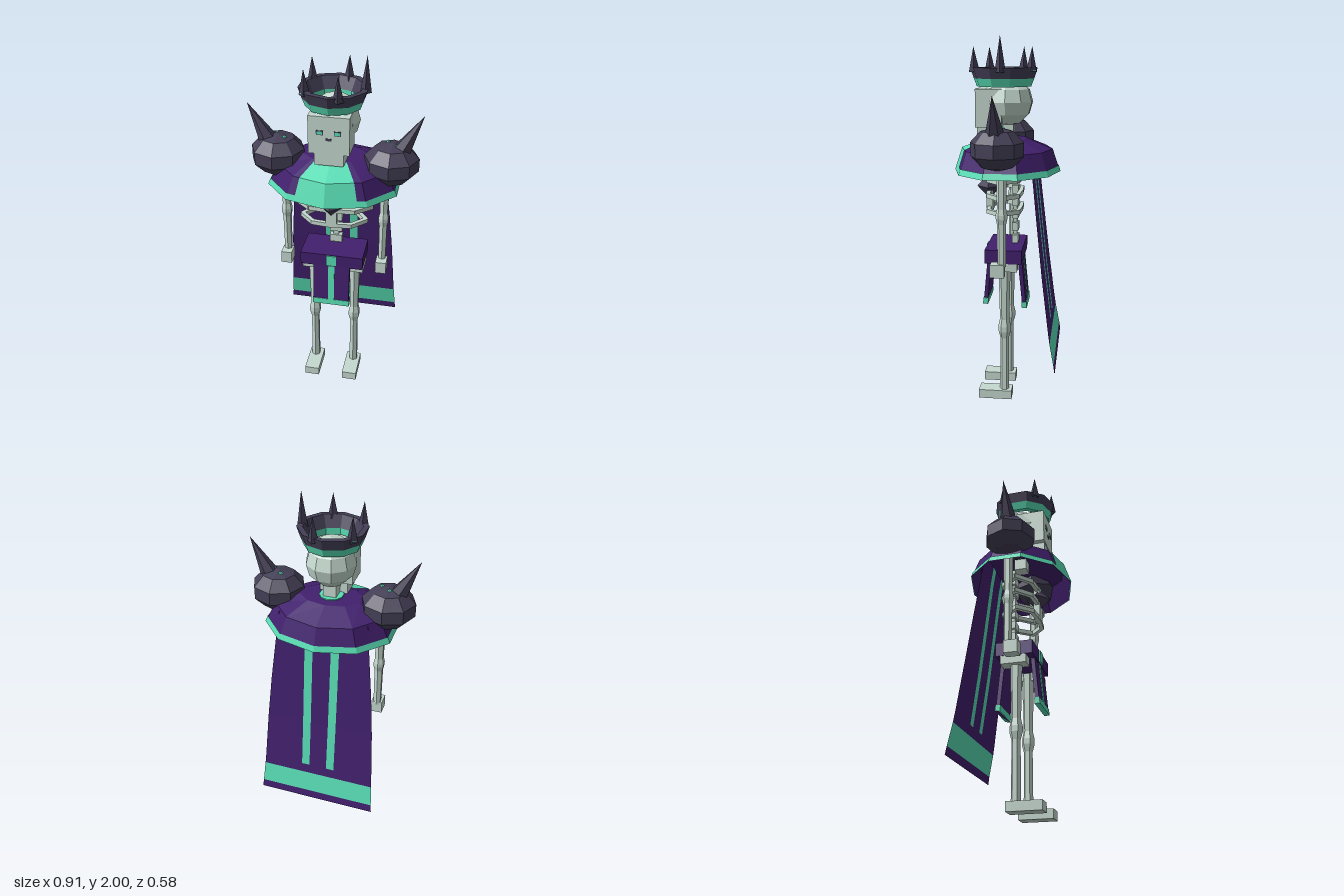
import * as THREE from 'three';

const mat = (name, color) => new THREE.MeshStandardMaterial({ name, color, flatShading: true, side: THREE.DoubleSide });

export function createModel() {
  const root = new THREE.Group();
  root.name = 'skeletonKing';
  const bone = mat('bone', 0xc6dad0), teal = mat('teal', 0x59dfb6);
  const purple = mat('purple', 0x42206e), dark = mat('darkMetal', 0x443f56);

  const add = (name, geo, m, x = 0, y = 0, z = 0) => {
    const mesh = new THREE.Mesh(geo, m);
    mesh.name = name;
    mesh.position.set(x, y, z);
    root.add(mesh);
    return mesh;
  };
  const box = (name, m, w, h, d, x, y, z) => add(name, new THREE.BoxGeometry(w, h, d), m, x, y, z);
  const lathe = (name, m, pts, seg, x = 0, z = 0) =>
    add(name, new THREE.LatheGeometry(pts.map(p => new THREE.Vector2(p[0], p[1])), seg), m, x, 0, z);
  // Box bar running between two points
  const bar = (name, m, a, b, w, h) => {
    const A = new THREE.Vector3(...a), B = new THREE.Vector3(...b);
    const mesh = box(name, m, w, h, A.distanceTo(B) + w * 0.5, 0, 0, 0);
    mesh.position.copy(A).lerp(B, 0.5);
    mesh.lookAt(B);
    return mesh;
  };
  // Cone standing on a base point and ending at a tip
  const spike = (name, base, tip, r, sides) => {
    const A = new THREE.Vector3(...base), B = new THREE.Vector3(...tip);
    const mesh = add(name, new THREE.ConeGeometry(r, A.distanceTo(B), sides), dark);
    mesh.position.copy(A).lerp(B, 0.5);
    mesh.quaternion.setFromUnitVectors(new THREE.Vector3(0, 1, 0), B.sub(A).normalize());
    return mesh;
  };
  // Quads between successive rows of points
  const sheet = (name, m, rows, keep = () => true) => {
    const pos = [];
    for (let i = 0; i + 1 < rows.length; i++) {
      for (let j = 0; j + 1 < rows[i].length; j++) {
        if (!keep(i, j)) continue;
        const a = rows[i][j], b = rows[i][j + 1], c = rows[i + 1][j + 1], d = rows[i + 1][j];
        pos.push(...a, ...b, ...c, ...a, ...c, ...d);
      }
    }
    const g = new THREE.BufferGeometry();
    g.setAttribute('position', new THREE.Float32BufferAttribute(pos, 3));
    g.computeVertexNormals();
    return add(name, g, m);
  };

  // Head
  add('cranium', new THREE.SphereGeometry(1, 10, 6).scale(0.133, 0.13, 0.14), bone, 0, 1.66, 0);
  box('face', bone, 0.21, 0.2, 0.14, 0, 1.63, 0.09);
  box('jaw', bone, 0.15, 0.07, 0.12, 0, 1.5, 0.095);
  box('neck', bone, 0.07, 0.14, 0.07, 0, 1.47, 0);
  box('noseHole', dark, 0.03, 0.012, 0.006, 0, 1.61, 0.16);
  for (const s of [-1, 1]) {
    box('eyeSocket', dark, 0.036, 0.024, 0.004, s * 0.045, 1.645, 0.161);
    box('eye', teal, 0.026, 0.016, 0.004, s * 0.045, 1.645, 0.163);
  }

  // Crown with five spikes
  lathe('crownBand', teal, [[0.12, 1.775], [0.12, 1.74], [0.146, 1.74], [0.162, 1.782]], 10, 0, 0.02);
  lathe('crownRim', dark, [[0.162, 1.782], [0.18, 1.838], [0.15, 1.838], [0.12, 1.775]], 10, 0, 0.02);
  for (let i = 0; i < 5; i++) {
    const a = i * Math.PI * 0.4, c = Math.cos(a), n = Math.sin(a);
    spike('crownSpike', [0.158 * c, 1.815, 0.02 + 0.158 * n], [0.162 * c, i ? 1.945 : 2, 0.02 + 0.162 * n], 0.029, 4);
    add('crownGem', new THREE.OctahedronGeometry(0.015), teal, 0.168 * c, 1.824, 0.02 + 0.168 * n);
  }

  // Mantle: ten-sided shell with trim and front panel
  const profile = [[0.357, 0.285, 1.29], [0.3, 0.245, 1.41], [0.17, 0.11, 1.462], [0.002, 0.002, 1.466]];
  const ringPoint = ([rx, rz, y], k, grow = 0) => {
    const i = Math.floor(k), t = k - i, a = i * Math.PI / 5, b = a + Math.PI / 5;
    return [(rx + grow) * (Math.sin(a) * (1 - t) + Math.sin(b) * t), y + grow * 0.5,
      (rz + grow) * (Math.cos(a) * (1 - t) + Math.cos(b) * t)];
  };
  const ring = (p, ks, grow) => ks.map(k => ringPoint(p, k, grow));
  const around = Array.from({ length: 11 }, (_, i) => i);
  sheet('mantle', purple, profile.map(p => ring(p, around)));
  sheet('mantleTrim', teal, [[0.357, 0.285, 1.288], [0.343, 0.275, 1.32]].map(p => ring(p, around, 0.004)));
  sheet('mantlePanel', teal, profile.slice(0, 3).map(p => ring(p, [-0.78, 0, 0.78], 0.005)));
  add('neckCollar', new THREE.CylinderGeometry(0.065, 0.065, 0.006, 10), teal, 0, 1.468, 0);

  // Shoulder pads, arms and legs
  for (const s of [-1, 1]) {
    add('shoulderPad', new THREE.SphereGeometry(1, 8, 5).scale(0.15, 0.112, 0.143), dark, s * 0.3, 1.443, 0.018);
    spike('shoulderSpike', [s * 0.325, 1.47, 0.022], [s * 0.453, 1.715, 0.022], 0.062, 6);
    add('padGem', new THREE.OctahedronGeometry(0.014), teal, s * 0.292 - 0.015, 1.545, -0.007);
    add('padGem', new THREE.OctahedronGeometry(0.014), teal, s * 0.292 + 0.032, 1.543, 0.033);

    lathe('arm', bone, [[0.022, 0.82], [0.024, 1.05], [0.031, 1.08], [0.031, 1.1], [0.024, 1.13], [0.028, 1.4]], 6, s * 0.27, 0);
    box('hand', bone, 0.06, 0.07, 0.075, s * 0.27, 0.8, 0.022);

    lathe('leg', bone, [[0.026, 0.04], [0.024, 0.36], [0.035, 0.4], [0.035, 0.43], [0.026, 0.47], [0.034, 0.8]], 6, s * 0.118, 0.003);
    box('hip', bone, 0.075, 0.05, 0.14, s * 0.135, 0.785, 0);
    box('foot', bone, 0.085, 0.05, 0.185, s * 0.115, 0.025, 0.053);
  }

  // Spine, sternum and ribs
  box('spineCore', bone, 0.03, 0.56, 0.02, 0, 1.13, -0.045);
  for (let i = 0; i < 7; i++) box('vertebra', bone, 0.07, 0.045, 0.035, 0, 0.91 + i * 0.07, -0.045);
  box('sternum', bone, 0.06, 0.2, 0.035, 0, 1.17, 0.095);
  for (const [y, w] of [[1.255, 0.205], [1.17, 0.205], [1.08, 0.175]]) {
    for (const s of [-1, 1]) {
      const path = [[0, 0.1], [0.6, 0.09], [1, 0.02], [0.6, -0.07], [0, -0.075]].map(([x, z]) => [s * x * w, y, z]);
      for (let i = 0; i < 4; i++) bar('rib', bone, path[i], path[i + 1], 0.022, 0.024);
    }
  }
  add('chestGemSetting', new THREE.OctahedronGeometry(0.068), dark, 0, 1.2, 0.1);
  add('chestGem', new THREE.OctahedronGeometry(0.034), teal, 0, 1.2, 0.133);

  // Belt and hanging cloths
  box('belt', purple, 0.35, 0.075, 0.2, 0, 0.843, 0.005);
  box('buckle', teal, 0.055, 0.065, 0.008, 0, 0.845, 0.108);
  for (const [name, s, w, top, bottom, z0, z1] of [
    ['frontCloth', 1, 0.205, 0.81, 0.55, 0.088, 0.112], ['backCloth', -1, 0.19, 0.81, 0.53, -0.078, -0.105]]) {
    const cloth = new THREE.Group();
    cloth.name = name;
    const len = Math.hypot(top - bottom, z1 - z0);
    cloth.position.set(0, (top + bottom) / 2, (z0 + z1) / 2);
    cloth.rotation.x = -Math.atan2(z1 - z0, top - bottom);
    root.add(cloth);
    cloth.add(box(name + 'Panel', purple, w, len, 0.022, 0, 0, 0));
    cloth.add(box(name + 'Hem', teal, w + 0.006, 0.034, 0.028, 0, -len / 2 + 0.017, 0));
    cloth.add(box(name + 'Stripe', teal, 0.035, len, 0.006, 0, 0, s * 0.011));
  }

  // Cape: thin flaring sheet with hem band and two stripes
  const capeRows = [[0.25, 0.335, -0.29], [0.295, 0.331, -0.283], [0.415, 0.323, -0.26], [0.47, 0.319, -0.252],
    [0.76, 0.302, -0.215], [1.0, 0.282, -0.188], [1.3, 0.25, -0.155], [1.4, 0.24, -0.14]];
  const rows = capeRows.map(([y, w, z]) => [-w, -0.095, -0.05, 0.05, 0.095, w].map(x => [x, y, z]));
  const isTeal = (i, j) => i === 1 || (i > 2 && (j === 1 || j === 3));
  sheet('cape', purple, rows, (i, j) => !isTeal(i, j));
  sheet('capeTrim', teal, rows, isTeal);

  return root;
}
